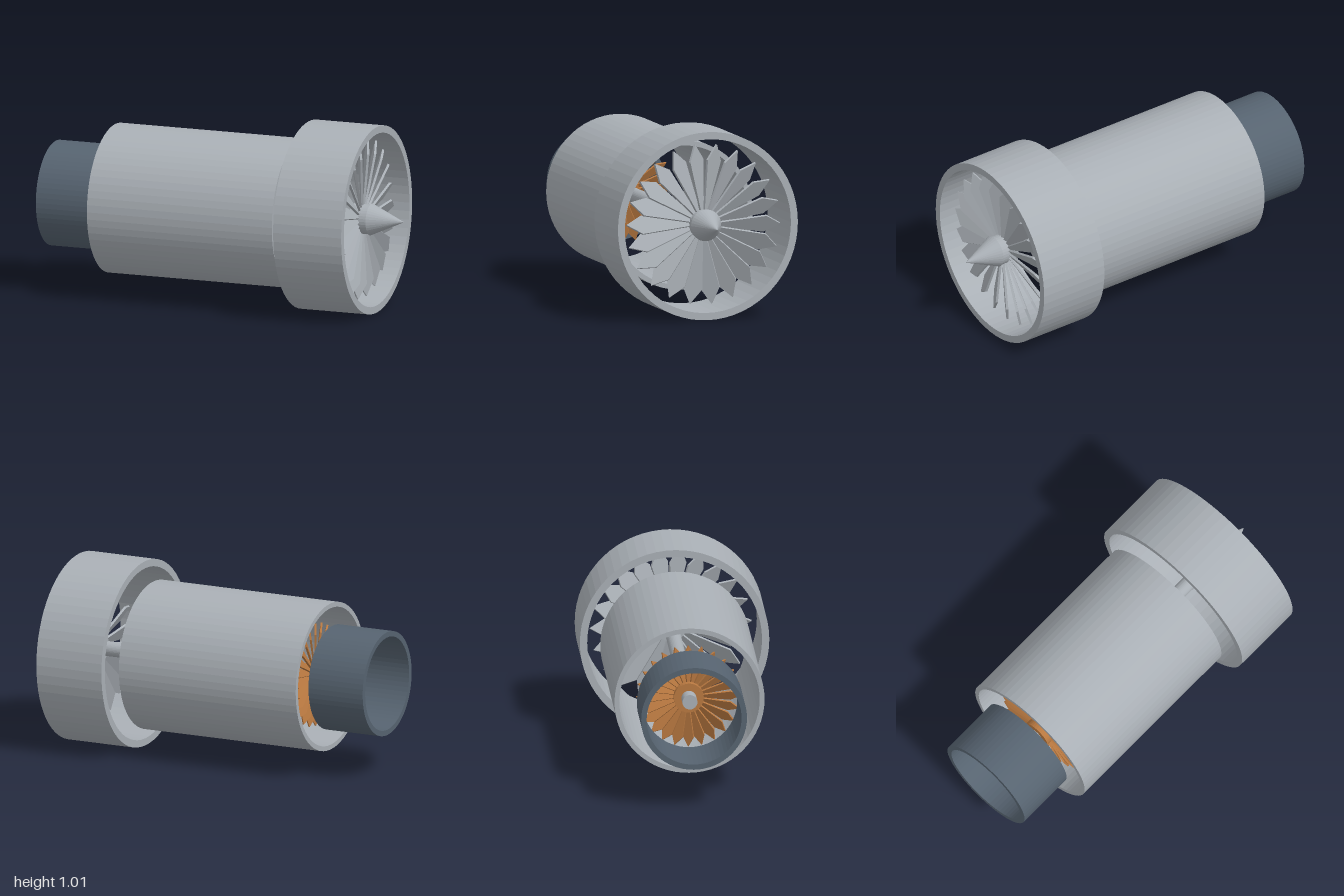
import * as THREE from 'three';

const AXIS_Y = 0.505;

export function createModel() {
  const model = new THREE.Group();
  model.name = 'turbofanEngine';

  const material = (name, color) => {
    const m = new THREE.MeshStandardMaterial({ color, flatShading: true });
    m.name = name;
    return m;
  };
  const grey = material('light grey metal', 0xa9afb5);
  const steel = material('dark blue steel', 0x566370);
  const copper = material('copper', 0xb87840);

  // everything turns about the x axis, so the group is lifted to the axis height
  const engine = new THREE.Group();
  engine.name = 'engine';
  engine.position.y = AXIS_Y;
  model.add(engine);

  const add = (name, geometry, mat, parent = engine) => {
    const mesh = new THREE.Mesh(geometry, mat);
    mesh.name = name;
    parent.add(mesh);
    return mesh;
  };

  // solid of revolution about x from [x, radius] points
  const turned = (points, segments = 64) =>
    new THREE.LatheGeometry(points.map(([x, r]) => new THREE.Vector2(r, x)), segments)
      .rotateZ(-Math.PI / 2);

  // hollow open-ended tube with wall thickness
  const tube = (x0, x1, outer, inner) =>
    turned([[x0, inner], [x0, outer], [x1, outer], [x1, inner], [x0, inner]]);

  const rod = (x0, x1, r) => turned([[x0, 0], [x0, r], [x1, r], [x1, 0]], 32);

  // ring of pitched, pointed blades around a hub
  const bladeRing = (name, x, count, root, shoulder, tip, thickness, pitch, mat, start) => {
    const ring = new THREE.Group();
    ring.name = name;
    ring.position.x = x;
    const spread = Math.tan(THREE.MathUtils.degToRad(166 / count)) / Math.cos(pitch);
    const shape = new THREE.Shape([
      new THREE.Vector2(-root * spread, root),
      new THREE.Vector2(root * spread, root),
      new THREE.Vector2(shoulder * spread, shoulder),
      new THREE.Vector2(0, tip),
      new THREE.Vector2(-shoulder * spread, shoulder),
    ]);
    const blade = new THREE.ExtrudeGeometry(shape, { depth: thickness, bevelEnabled: false })
      .translate(0, 0, -thickness / 2)
      .rotateY(Math.PI / 2 + pitch);
    for (let i = 0; i < count; i++) {
      add(name + 'Blade', blade, mat, ring).rotation.x = start + (i / count) * Math.PI * 2;
    }
    engine.add(ring);
  };

  // casings
  add('fanCase', tube(0.45, 0.84, 0.505, 0.466), grey);
  add('coreCasing', tube(-0.66, 0.4, 0.4, 0.374), grey);
  add('exhaustNozzle', tube(-1, -0.675, 0.282, 0.253), steel);

  // rotating shaft, fan hub and spinner
  add('shaft', rod(-0.69, 0.74, 0.04), grey);
  add('fanHub', rod(0.71, 0.81, 0.08), grey);
  add('spinner', turned([[0.81, 0], [0.81, 0.085], [0.998, 0]], 32), grey);

  // front fan and rear turbine
  bladeRing('fan', 0.76, 22, 0.07, 0.345, 0.432, 0.012, 0.52, grey, 0.113);
  add('turbineHub', rod(-0.61, -0.53, 0.08), copper);
  bladeRing('turbine', -0.57, 24, 0.07, 0.225, 0.28, 0.01, 0.52, copper, 0);

  return model;
}
